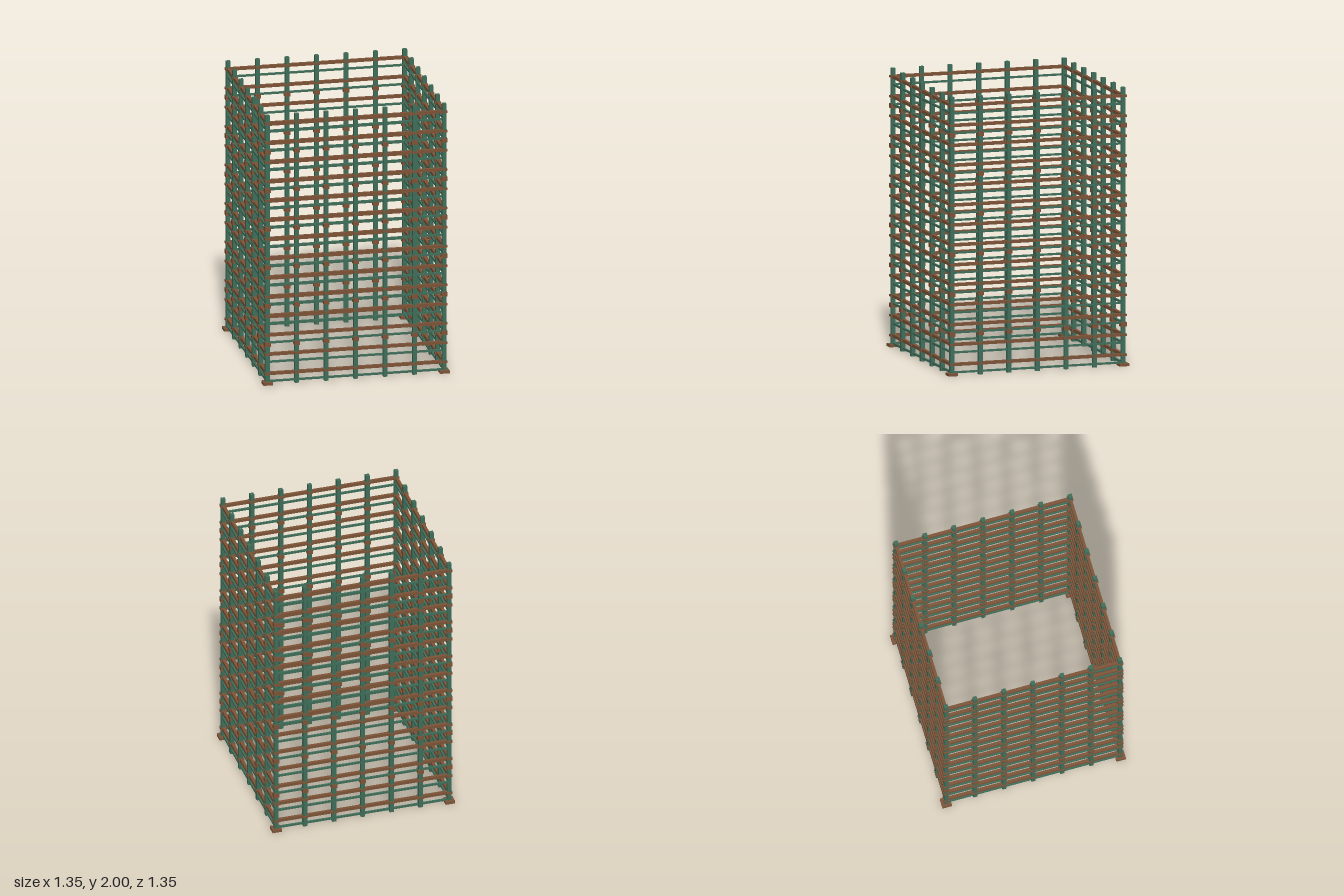
import * as THREE from 'three';
import { mergeGeometries } from 'three/addons/utils/BufferGeometryUtils.js';

const HALF = 0.64;          // centre line of each wall
const BAYS = 6;             // bays per wall
const LEVELS = 14;          // rail levels
const STEP = 0.143;         // height between levels

const box = (w, h, d, x, y, z) => new THREE.BoxGeometry(w, h, d).translate(x, y, z);

export function createModel() {
  const green = new THREE.MeshStandardMaterial({ color: 0x3f6e5a });
  green.name = 'green steel';
  const brown = new THREE.MeshStandardMaterial({ color: 0x7d5337 });
  brown.name = 'brown steel';

  const model = new THREE.Group();
  model.name = 'latticeTower';

  const add = (parent, name, material, parts) => {
    const mesh = new THREE.Mesh(mergeGeometries(parts), material);
    mesh.name = name;
    parent.add(mesh);
  };

  // Four equal walls, each owning the post at its own left-hand corner
  for (let side = 0; side < 4; side++) {
    const wall = new THREE.Group();
    wall.name = ['frontWall', 'leftWall', 'backWall', 'rightWall'][side];
    wall.rotation.y = side * Math.PI / 2;

    const posts = [], clamps = [], collars = [], rails = [], bars = [];
    for (let i = 0; i < BAYS; i++) {
      const x = -HALF + i * 2 * HALF / BAYS;
      posts.push(box(0.03, 2, 0.03, x, 1, HALF));
      // Clamps where the heavy rails cross the post
      for (let k = 0; k < LEVELS; k++) {
        clamps.push(box(0.042, 0.016, 0.042, x, 0.08 + k * STEP, HALF));
      }
      // Splice collars at every second level
      for (let k = 0; k < 6; k++) {
        collars.push(box(0.042, 0.032, 0.042, x, 0.298 + k * 2 * STEP, HALF));
      }
    }

    // Heavy rails alternate with thin bars
    for (let k = 0; k < LEVELS; k++) {
      rails.push(box(2 * HALF, 0.022, 0.022, 0, 0.08 + k * STEP, HALF));
      bars.push(box(2 * HALF, 0.014, 0.014, 0, 0.023 + k * STEP, HALF));
    }

    add(wall, 'posts', green, posts);
    add(wall, 'thinBars', green, bars);
    add(wall, 'heavyRails', brown, rails);
    add(wall, 'railClamps', brown, clamps);
    add(wall, 'spliceCollars', brown, collars);
    add(wall, 'cornerFoot', brown, [box(0.07, 0.02, 0.07, -HALF, 0.01, HALF)]);
    model.add(wall);
  }
  return model;
}
